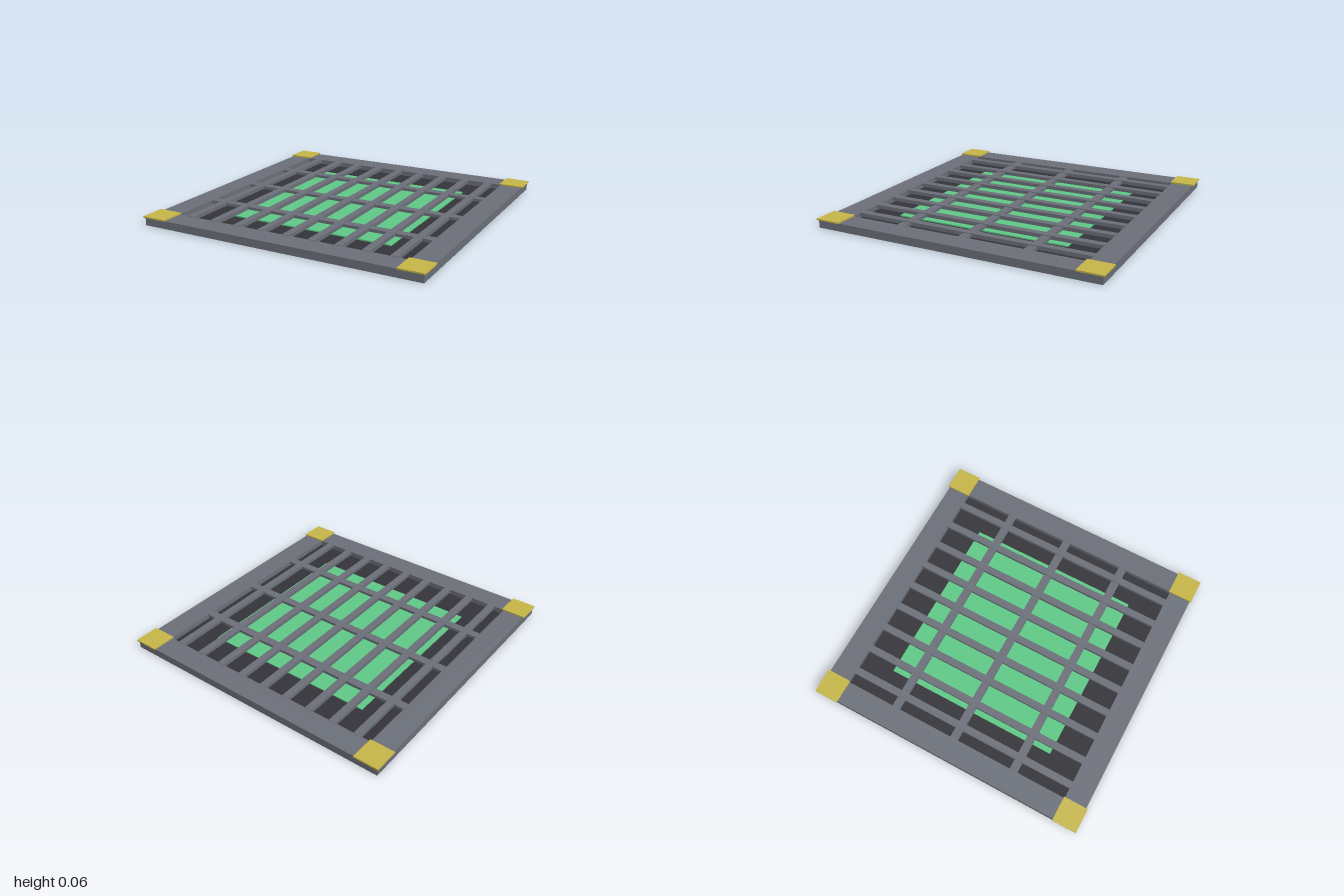
import * as THREE from 'three';

const steel = new THREE.MeshStandardMaterial({ name: 'steel grey', color: 0x6d717a });
const dark = new THREE.MeshStandardMaterial({ name: 'dark pit', color: 0x35343a });
const green = new THREE.MeshStandardMaterial({ name: 'glow green', color: 0x60cb88 });
const gold = new THREE.MeshStandardMaterial({ name: 'corner yellow', color: 0xc8b84a });

export function createModel() {
  const model = new THREE.Group();
  model.name = 'floorGrate';

  // Box given by its centre x and z, its size, and its bottom and top heights
  function slab(name, material, x, z, width, depth, bottom, top) {
    const mesh = new THREE.Mesh(new THREE.BoxGeometry(width, top - bottom, depth), material);
    mesh.position.set(x, (bottom + top) / 2, z);
    mesh.name = name;
    model.add(mesh);
  }

  // Pit floor and the lit panel lying on it
  slab('pitFloor', dark, 0, 0, 1.7, 1.7, 0, 0.02);
  slab('lightPanel', green, 0, 0, 1.23, 1.23, 0.02, 0.028);

  // Frame rails and corner plates
  for (const s of [-1, 1]) {
    slab(s > 0 ? 'frontRail' : 'backRail', steel, 0, s * 0.9125, 1.98, 0.155, 0.001, 0.055);
    slab(s > 0 ? 'leftRail' : 'rightRail', steel, s * 0.9125, 0, 0.155, 1.67, 0.001, 0.055);
    for (const t of [-1, 1]) {
      slab('cornerPlate', gold, s * 0.914, t * 0.914, 0.172, 0.172, 0.055, 0.065);
    }
  }

  // Long bars running front to back, standing just proud of the frame
  for (let i = -4; i <= 4; i++) {
    slab('longBar', steel, i * 0.1845, 0, 0.05, 1.68, 0.033, 0.058);
  }

  // Cross bars, slightly lower than the long bars
  for (let i = -1; i <= 1; i++) {
    slab('crossBar', steel, 0, i * 0.455, 1.68, 0.057, 0.033, 0.053);
  }

  return model;
}
